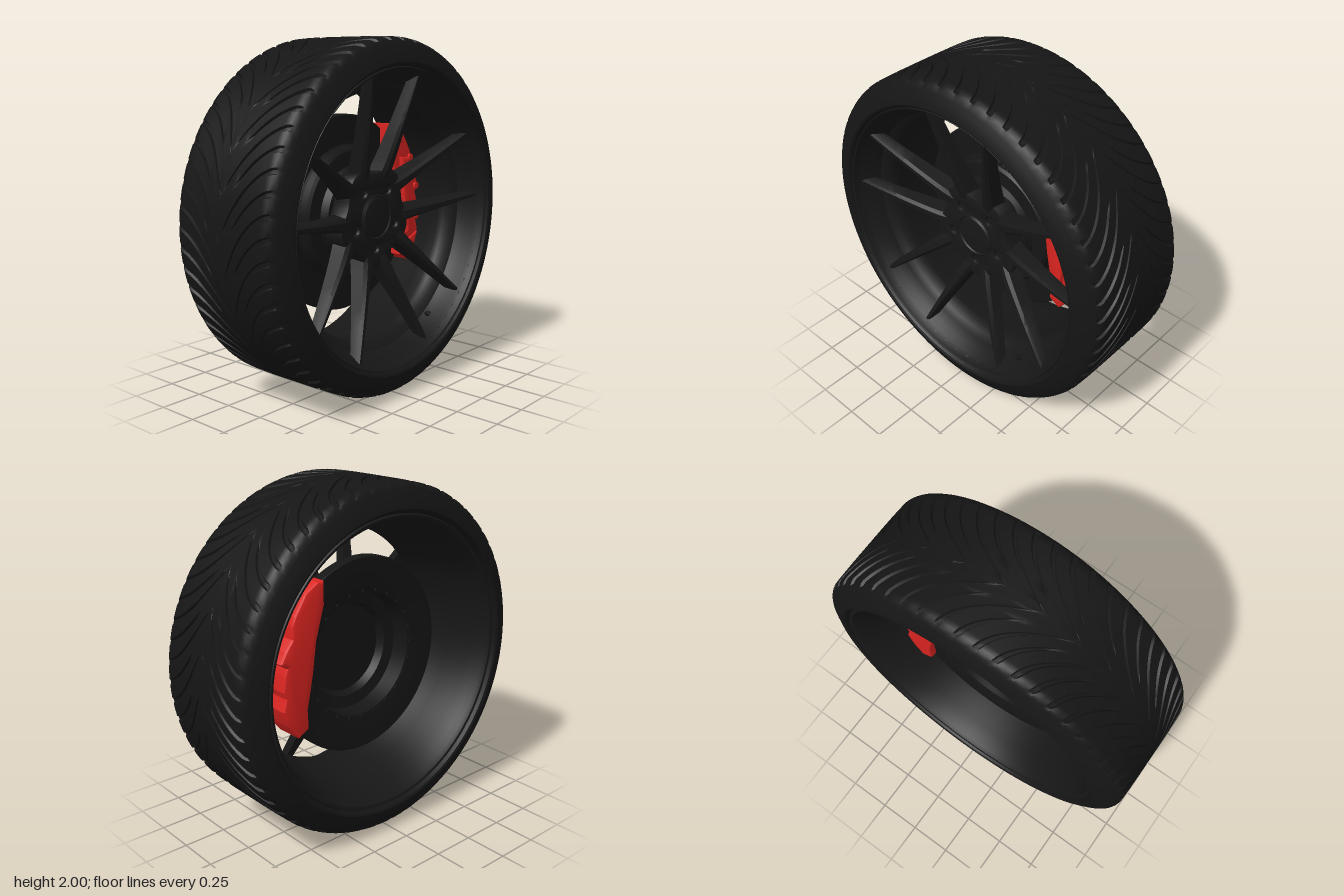
import * as THREE from 'three';
import { toCreasedNormals } from 'three/addons/utils/BufferGeometryUtils.js';

const V2 = (p) => new THREE.Vector2(p[0], p[1]);
const rad = THREE.MathUtils.degToRad;
const mat = (color) => new THREE.MeshStandardMaterial({ color, side: THREE.DoubleSide });
const rubber = mat(0x151515), metal = mat(0x171717), iron = mat(0x151515), red = mat(0xda2420);

function add(parent, name, geometry, material, x = 0, y = 0, z = 0) {
  const m = new THREE.Mesh(geometry, material);
  m.name = name;
  m.position.set(x, y, z);
  parent.add(m);
  return m;
}

// Revolves [radius, axial] points about the z axle
function turned(points, segments = 96) {
  const g = new THREE.LatheGeometry(points.map(V2), segments).rotateX(Math.PI / 2);
  return toCreasedNormals(g, 0.5);
}

// Cylinder lying along the z axle
const pin = (r, len, sides = 20) =>
  toCreasedNormals(new THREE.CylinderGeometry(r, r, len, sides).rotateX(Math.PI / 2), 0.6);

// Tyre: revolved grid whose columns follow swept tread grooves
function tyreGeometry() {
  const side = [[0.82, 0.33], [0.838, 0.362], [0.85, 0.382], [0.862, 0.389], [0.89, 0.381],
    [0.92, 0.367], [0.945, 0.355], [0.965, 0.344], [0.98, 0.331], [0.99, 0.315]];
  const rows = side.map(([r, a]) => [r, -a]);
  for (let i = 0; i <= 36; i++) {
    const a = -0.298 + (0.596 * i) / 36;
    rows.push([1 - 0.004 * (a / 0.298) ** 4, a]);
  }
  rows.push(...side.slice().reverse());

  const periods = 28, phases = [0, 0.035, 0.13, 0.165, 0.33];
  const cols = [];
  for (let k = 0; k < periods * 2; k++)
    phases.forEach((p, i) => cols.push({ k, p, groove: i === 1 || i === 2, long: k % 2 === 0 }));
  const pos = [], index = [];
  for (const [r, a] of rows) {
    const u = Math.abs(a) / 0.389;
    const shift = 0.4 * (1 - (1 - u) ** 2.2);
    const width = 0.5 + 0.5 * Math.min(1, u * 1.4);
    for (const c of cols) {
      const t = ((c.k * 0.5 + c.p * width) / periods) * Math.PI * 2 - shift;
      const start = c.long ? 0.02 : 0.2;
      const fade = THREE.MathUtils.smoothstep(u, start, start + 0.12) *
        (1 - THREE.MathUtils.smoothstep(u, 0.8, 0.88));
      const rr = r - (c.groove ? 0.013 * fade : 0);
      pos.push(rr * Math.cos(t), rr * Math.sin(t), a);
    }
  }
  const n = cols.length;
  for (let j = 0; j < rows.length - 1; j++)
    for (let i = 0; i < n; i++) {
      const a = j * n + i, b = j * n + ((i + 1) % n);
      index.push(a, b, b + n, a, b + n, a + n);
    }
  const g = new THREE.BufferGeometry();
  g.setAttribute('position', new THREE.Float32BufferAttribute(pos, 3));
  g.setIndex(index);
  return toCreasedNormals(g, 0.5);
}

// Spoke: box bent by rule, rising forward along the V arm from hub to rim lip
function spokeGeometry(sign) {
  const g = new THREE.BoxGeometry(1, 1, 1, 4, 10, 1);
  const p = g.attributes.position;
  const from = new THREE.Vector2(0.225, 0.055 * sign), to = new THREE.Vector2(0.752, 0.3 * sign);
  const dir = to.clone().sub(from).normalize();
  for (let i = 0; i < p.count; i++) {
    const t = p.getY(i) + 0.5, s = p.getX(i), front = p.getZ(i) > 0;
    const width = THREE.MathUtils.lerp(0.105, 0.036, Math.pow(t, 0.6));
    const c = from.clone().lerp(to, t);
    const w = s * width * (front ? 0.85 : 1.15);
    const face = 0.18 + 0.14 * Math.pow(t, 0.85);
    let z = front ? face : face - THREE.MathUtils.lerp(0.11, 0.06, t);
    if (front && Math.abs(s) > 0.4) z -= 0.018;
    p.setXYZ(i, c.x + dir.y * w, c.y - dir.x * w, z);
  }
  return toCreasedNormals(g, 0.45);
}

// Hub: five-lobed plate with lug holes
function hubGeometry() {
  const pts = [];
  for (let i = 0; i < 80; i++) {
    const t = (i / 80) * Math.PI * 2;
    const r = 0.265 + 0.025 * Math.cos(5 * (t - rad(54)));
    pts.push(new THREE.Vector2(r * Math.cos(t), r * Math.sin(t)));
  }
  const shape = new THREE.Shape(pts);
  for (let k = 0; k < 5; k++) {
    const t = rad(54 + 72 * k), hole = new THREE.Path();
    hole.absarc(0.18 * Math.cos(t), 0.18 * Math.sin(t), 0.038, 0, Math.PI * 2, true);
    shape.holes.push(hole);
  }
  const g = new THREE.ExtrudeGeometry(shape, { depth: 0.1, bevelSize: 0.01,
    bevelThickness: 0.01, bevelSegments: 2, curveSegments: 16 });
  return toCreasedNormals(g.translate(0, 0, 0.07), 0.5);
}

function extruded(points, depth, z, bevel) {
  const g = new THREE.ExtrudeGeometry(new THREE.Shape(points.map(V2)), { depth: depth - 2 * bevel,
    bevelSize: bevel, bevelThickness: bevel, bevelOffset: -bevel, bevelSegments: 2 });
  return toCreasedNormals(g.translate(0, 0, z + bevel), 0.4);
}

export function createModel() {
  const root = new THREE.Group();
  root.name = 'wheel';
  const wheel = new THREE.Group();
  wheel.name = 'wheelAssembly';
  wheel.rotation.y = Math.PI / 2;
  wheel.position.y = 1;
  root.add(wheel);

  add(wheel, 'tyre', tyreGeometry(), rubber);

  // Rim barrel with a smooth sloping front face and a rear lip
  add(wheel, 'rim', turned([[0.82, -0.33], [0.838, -0.358], [0.83, -0.37], [0.815, -0.366],
    [0.80, -0.345], [0.785, -0.3], [0.765, -0.24], [0.745, -0.1], [0.72, 0.03], [0.702, 0.11],
    [0.703, 0.15], [0.725, 0.19], [0.76, 0.215], [0.768, 0.24], [0.785, 0.275], [0.808, 0.315],
    [0.822, 0.34], [0.828, 0.366], [0.836, 0.372], [0.842, 0.362], [0.82, 0.33]]), metal);

  // Five V-shaped spoke pairs
  for (let k = 0; k < 5; k++) {
    const t = rad(54 + 72 * k);
    const pair = new THREE.Group();
    pair.name = 'spokePair';
    pair.rotation.z = t;
    wheel.add(pair);
    for (const s of [-1, 1]) add(pair, 'spoke', spokeGeometry(s), metal);
    add(pair, 'lugNut', pin(0.025, 0.07, 6), metal, 0.18, 0, 0.13);
    add(pair, 'lugSeat', pin(0.038, 0.02), metal, 0.18, 0, 0.09);
  }

  // Hub and centre cap
  add(wheel, 'hub', hubGeometry(), metal);
  add(wheel, 'centreCap', turned([[0.128, 0.17], [0.128, 0.185], [0.122, 0.19], [0.114, 0.182],
    [0.108, 0.188], [0.09, 0.191], [0, 0.192]], 48), metal);
  add(wheel, 'hubBack', turned([[0, 0.06], [0.2, 0.06], [0.23, 0.08]], 48), metal);

  // Valve stem
  const valve = add(wheel, 'valve', new THREE.CylinderGeometry(0.014, 0.018, 0.07, 12), metal,
    0.42, -0.645, 0.24);
  valve.rotation.set(rad(60), 0, rad(33));

  // Brake disc with hollow hat
  add(wheel, 'brakeDisc', turned([[0.36, -0.115], [0.375, -0.12], [0.565, -0.12], [0.57, -0.115],
    [0.57, -0.055], [0.565, -0.05], [0.4, -0.05], [0.39, -0.04], [0.385, 0.0], [0.37, 0.015],
    [0.29, 0.02], [0.27, 0.06], [0, 0.06], [0, 0.045], [0.26, 0.045], [0.28, 0], [0.35, -0.01],
    [0.36, -0.115]]), iron);
  for (let k = 0; k < 24; k++) {
    const t = (k / 24) * Math.PI * 2;
    add(wheel, 'discBolt', pin(0.012, 0.02, 8), iron, 0.378 * Math.cos(t), 0.378 * Math.sin(t), -0.118);
  }

  // Brake caliper: body, raised front panel, end pads and bolts
  const caliper = new THREE.Group();
  caliper.name = 'brakeCaliper';
  wheel.add(caliper);
  add(caliper, 'caliperBody', extruded([[0.315, 0.5], [0.36, 0.5], [0.44, 0.45], [0.51, 0.34],
    [0.53, 0.29], [0.53, 0.22], [0.575, 0.16], [0.61, 0.1], [0.57, 0.07], [0.585, 0.03], [0.595, -0.06],
    [0.58, -0.1], [0.6, -0.17], [0.57, -0.26], [0.5, -0.35], [0.43, -0.31], [0.435, -0.2],
    [0.395, 0], [0.37, 0.18], [0.315, 0.37]], 0.2, -0.17, 0.018), red);
  add(caliper, 'caliperPanel', extruded([[0.4, 0.3], [0.47, 0.29], [0.51, 0.1], [0.53, -0.05],
    [0.52, -0.17], [0.46, -0.17], [0.43, 0], [0.41, 0.15]], 0.05, 0.01, 0.015), red);
  add(caliper, 'upperPad', extruded([[0.335, 0.47], [0.42, 0.43], [0.45, 0.38], [0.34, 0.38]],
    0.03, 0.01, 0.008), red);
  add(caliper, 'lowerPad', extruded([[0.46, -0.23], [0.58, -0.18], [0.55, -0.26], [0.49, -0.32],
    [0.45, -0.29]], 0.03, 0.01, 0.008), red);
  for (const [x, y] of [[0.5, 0.29], [0.56, 0.11], [0.565, -0.08], [0.5, -0.26], [0.38, 0.42]])
    add(caliper, 'caliperBolt', pin(0.02, 0.05, 12), red, x, y, 0.02);

  return root;
}
